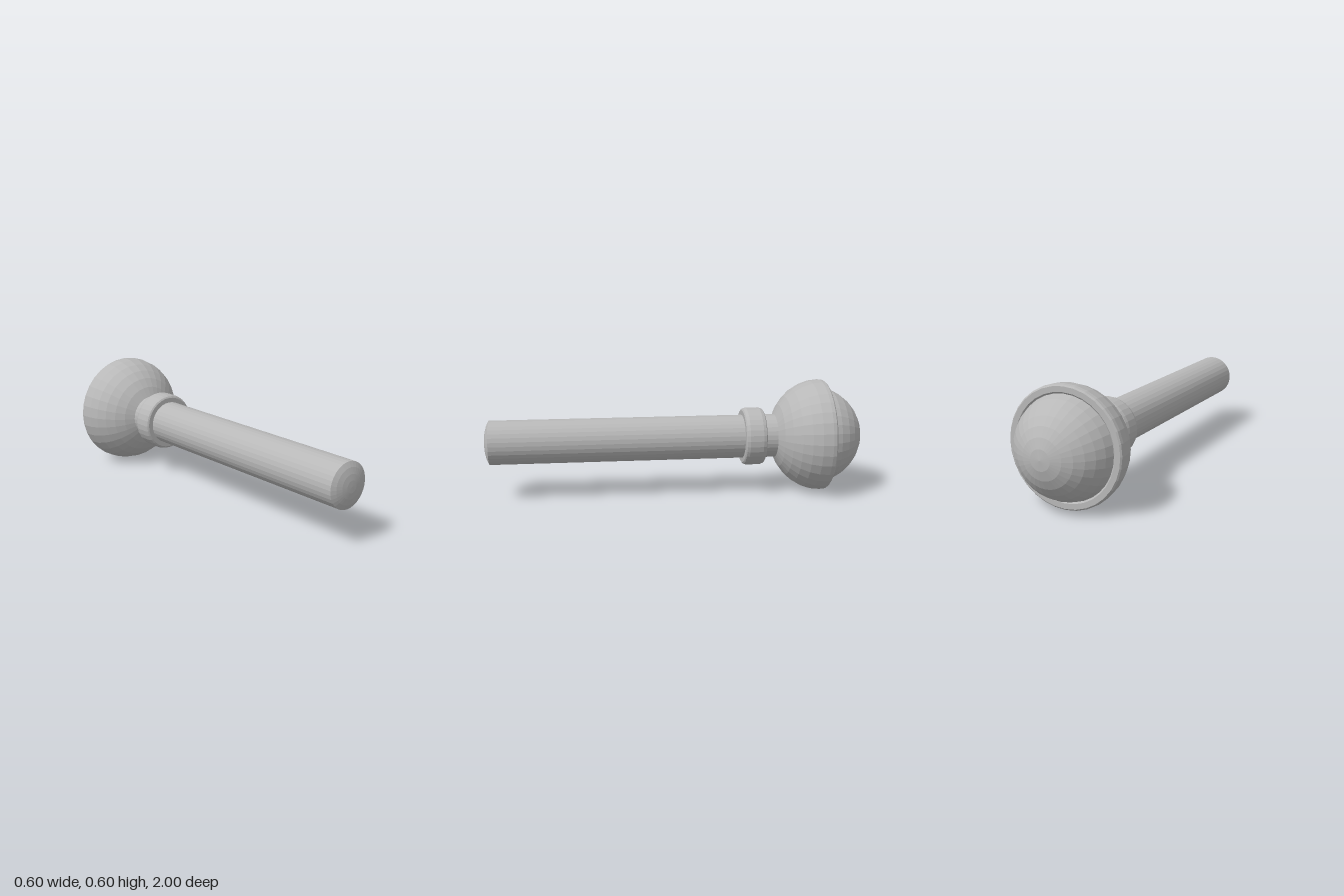
import * as THREE from 'three';

const SIDES = 32;

export function createModel() {
  const group = new THREE.Group();
  const metal = new THREE.MeshStandardMaterial({ color: 0xb8b8b8 });
  metal.name = 'grey metal';

  // Turned part along z from [radius, z] pairs listed back to front, with faceted normals
  function turned(name, profile) {
    const points = profile.map(([r, z]) => new THREE.Vector2(r, z));
    const geometry = new THREE.LatheGeometry(points, SIDES).rotateX(Math.PI / 2).toNonIndexed();
    geometry.computeVertexNormals();
    const mesh = new THREE.Mesh(geometry, metal);
    mesh.name = name;
    mesh.position.y = 0.298;
    group.add(mesh);
  }

  // Elliptical arc of profile points, angles in degrees from the -z pole
  function arc(radius, depth, centre, from, to, steps) {
    return Array.from({ length: steps + 1 }, (_, i) => {
      const a = THREE.MathUtils.degToRad(from + ((to - from) * i) / steps);
      return [Math.max(0, radius * Math.sin(a)), centre - depth * Math.cos(a)];
    });
  }

  // Rounded knob end
  turned('knobDome', arc(0.26, 0.26, -0.74, 0, 90, 8));

  // Cup holding the dome, with a narrow rim
  turned('knobCup', [
    [0.245, -0.785], [0.262, -0.8], [0.289, -0.8], [0.296, -0.793],
    ...arc(0.298, 0.265, -0.775, 90, 157.5, 6),
    [0, -0.53],
  ]);

  // Shaft with a shallow domed tip
  turned('shaft', [
    [0, -0.56], [0.115, -0.56], [0.115, 0.975],
    [0.09, 0.987], [0.06, 0.995], [0.03, 0.999], [0, 1],
  ]);

  // Collar ring with bevelled edges
  turned('collar', [
    [0.11, -0.466], [0.14, -0.466], [0.148, -0.461], [0.153, -0.445],
    [0.153, -0.375], [0.148, -0.36], [0.14, -0.355], [0.11, -0.355],
  ]);

  return group;
}
